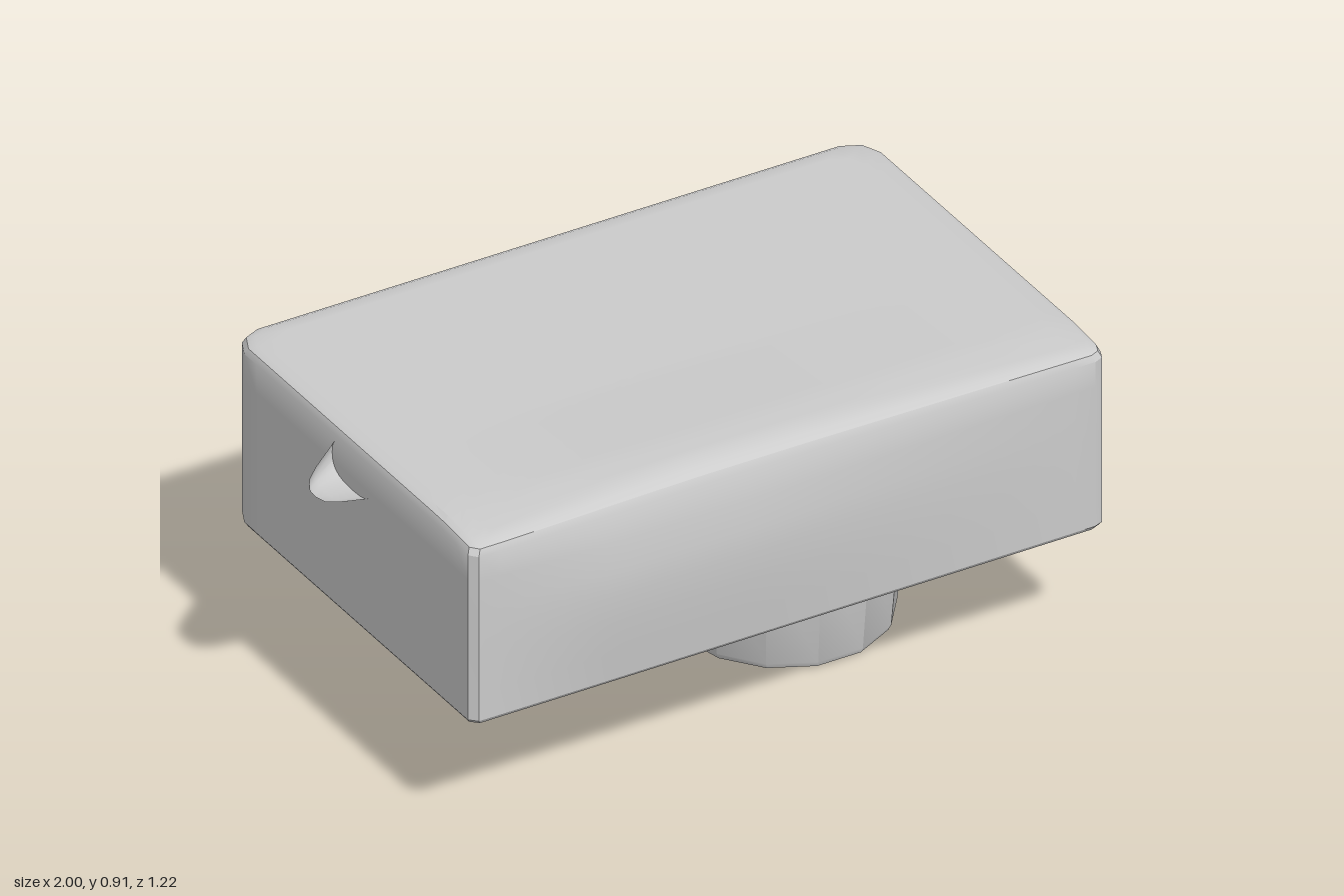
import * as THREE from 'three';
import { toCreasedNormals } from 'three/addons/utils/BufferGeometryUtils.js';

// Piecewise-linear curve through [t, value] pairs
function curve(pts, t) {
  if (t <= pts[0][0]) return pts[0][1];
  for (let i = 1; i < pts.length; i++) {
    const [a, va] = pts[i - 1], [b, vb] = pts[i];
    if (t <= b) return va + (vb - va) * (t - a) / (b - a);
  }
  return pts[pts.length - 1][1];
}

// Skin a list of equal-length closed rings; the end rings collapse to a point
function loft(rings, crease) {
  const n = rings[0].length, index = [];
  for (let r = 0; r < rings.length - 1; r++) {
    for (let i = 0; i < n; i++) {
      const a = r * n + i, b = r * n + (i + 1) % n;
      index.push(a, b, a + n, b, b + n, a + n);
    }
  }
  const geo = new THREE.BufferGeometry();
  geo.setAttribute('position', new THREE.Float32BufferAttribute(rings.flat(2), 3));
  geo.setIndex(index);
  return toCreasedNormals(geo, crease);
}

const material = new THREE.MeshStandardMaterial({ color: 0xcccccc });

function part(name, geometry) {
  const mesh = new THREE.Mesh(geometry, material);
  mesh.name = name;
  return mesh;
}

// Body plan, counter-clockwise seen from above, with chamfered back corners
const corners = [
  [-0.85, 0.58], [0.96, 0.575], [0.985, 0.565], [0.995, 0.54],
  [0.995, -0.53], [0.972, -0.585], [0.92, -0.61],
  [-0.80, -0.61], [-0.845, -0.59], [-0.868, -0.54], [-0.87, 0.56],
];

function bodyOutline() {
  const out = [];
  corners.forEach(([x, z], i) => {
    const [x2, z2] = corners[(i + 1) % corners.length];
    const steps = Math.max(1, Math.round(Math.hypot(x2 - x, z2 - z) / 0.06));
    for (let s = 0; s < steps; s++) out.push([x + (x2 - x) * s / steps, z + (z2 - z) * s / steps]);
  });
  return out;
}

// Slight outward swelling of the front wall
const swellX = [[-0.87, 0], [-0.47, 1], [-0.05, 1], [0.99, 0]];
const swellY = [[0.355, 0], [0.55, 0.85], [0.63, 1], [0.70, 1], [0.88, 0.1]];
// Raised ridge along the front of the lid
const ridgeX = [[-0.80, 0], [-0.45, 0.7], [-0.2, 1], [0.1, 0.9], [0.95, 0]];
const ridgeZ = [[0.1, 0], [0.52, 1], [0.58, 0.35]];

function lidHeight(x, z) {
  const rise = 0.025 * curve(ridgeX, x) * curve(ridgeZ, z);
  const frontDrop = curve([[0.42, 0], [0.58, 0.012]], z);
  return 0.89 + rise - frontDrop;
}

function bodyGeometry() {
  const outline = bodyOutline();
  const inset = (x, z, d) => [0.06 + (x - 0.06) * (1 - d / 0.93), z * (1 - d / 0.6)];
  const wall = (y, d, drop = null) => outline.map(([x, z]) => {
    const [px, pz] = inset(x, z, d);
    const py = drop === null ? y : lidHeight(px, pz) - drop;
    const bulge = z > 0.57 ? 0.028 * curve(swellX, px) * curve(swellY, py) : 0;
    return [px, py, pz + bulge];
  });
  const cap = (k, height) => outline.map(([x, z]) => {
    const [ix, iz] = inset(x, z, 0.025);
    const px = 0.06 + (ix - 0.06) * k, pz = iz * k;
    return [px, height(px, pz), pz];
  });
  const rings = [];
  // Underside
  for (const k of [0, 0.5, 1]) rings.push(cap(k, () => 0.353 - 0.008 * (1 - k * k)));
  // Walls with softened lower and upper edges
  rings.push(wall(0.356, 0.008), wall(0.368, 0));
  for (const y of [0.45, 0.55, 0.63, 0.7, 0.78]) rings.push(wall(y, 0));
  rings.push(wall(0, 0, 0.025), wall(0, 0.008, 0.008));
  // Lid
  for (let i = 16; i >= 0; i--) rings.push(cap(i / 16, lidHeight));
  return loft(rings, 0.45);
}

// Tapering pointer: [x, zMin, zMax, yMin, yMax] sections from tip to root
function pointerGeometry() {
  const sections = [
    [-1.0, 0.015, 0.015, 0.798, 0.798], [-0.998, -0.005, 0.045, 0.785, 0.812],
    [-0.985, -0.025, 0.067, 0.776, 0.822], [-0.95, -0.055, 0.081, 0.766, 0.836],
    [-0.87, -0.108, 0.09, 0.745, 0.866], [-0.72, -0.11, 0.09, 0.74, 0.893],
    [-0.40, 0, 0, 0.85, 0.885],
  ];
  const n = 20;
  const rings = sections.map(([x, z0, z1, y0, y1]) => Array.from({ length: n }, (_, i) => {
    const a = 2 * Math.PI * i / n, c = Math.cos(a), s = Math.sin(a);
    const round = (v) => Math.sign(v) * Math.abs(v) ** 0.75;
    return [x, (y0 + y1) / 2 + round(s) * (y1 - y0) / 2, (z0 + z1) / 2 - round(c) * (z1 - z0) / 2];
  }));
  // Orient the rings so the skin faces outwards
  rings.forEach((ring) => ring.reverse());
  return loft(rings, 0.7);
}

// Faceted tapered stem with a small bevel at its base
function stemGeometry() {
  const profile = [[0, 0], [0.282, 0], [0.295, 0.006], [0.303, 0.022], [0.332, 0.36]]
    .map(([r, y]) => new THREE.Vector2(r, y));
  const geo = new THREE.LatheGeometry(profile, 14, Math.PI / 14);
  geo.scale(0.97, 1, 1);
  return toCreasedNormals(geo, 0.4);
}

export function createModel() {
  const model = new THREE.Group();
  model.name = 'model';
  const stem = part('stem', stemGeometry());
  stem.position.x = 0.38;
  model.add(part('body', bodyGeometry()), part('pointer', pointerGeometry()), stem);
  return model;
}
